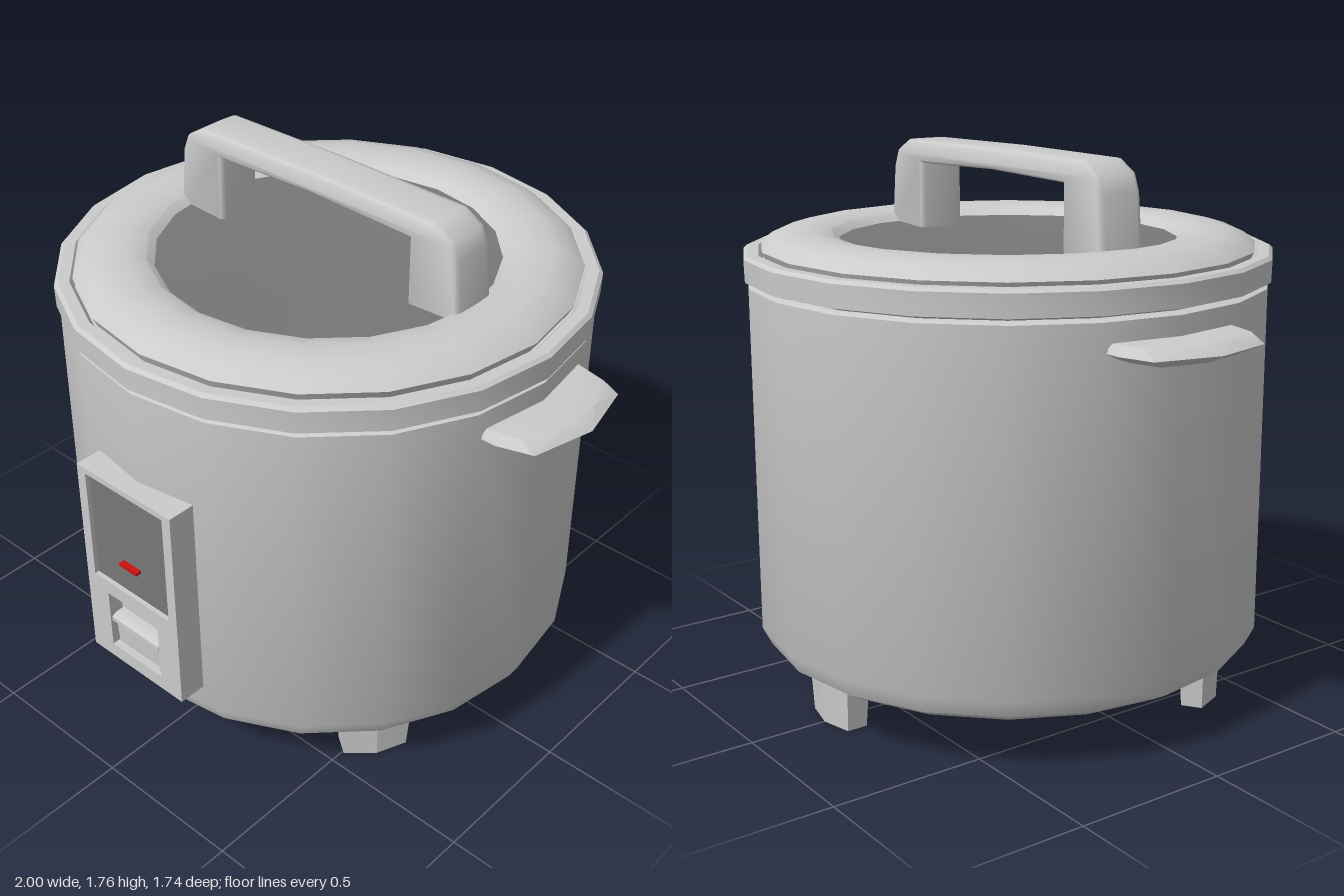
import * as THREE from 'three';
import { toCreasedNormals } from 'three/addons/utils/BufferGeometryUtils.js';
import { ConvexGeometry } from 'three/addons/geometries/ConvexGeometry.js';

const grey = new THREE.MeshStandardMaterial({ color: 0xcccccc });
const dark = new THREE.MeshStandardMaterial({ color: 0x777777 });
const red = new THREE.MeshStandardMaterial({ color: 0xcc1111 });
const CENTRE_Z = -0.03;

export function createModel() {
  const model = new THREE.Group();

  function add(name, geometry, material = grey, x = 0, y = 0, z = 0) {
    const mesh = new THREE.Mesh(geometry, material);
    mesh.name = name;
    mesh.position.set(x, y, z);
    model.add(mesh);
    return mesh;
  }

  // Round parts share one axis and the same number of sides
  function turned(name, profile, material = grey) {
    const points = profile.map(([r, y]) => new THREE.Vector2(r, y));
    const geometry = toCreasedNormals(new THREE.LatheGeometry(points, 20), 0.55);
    return add(name, geometry, material, 0, 0, CENTRE_Z);
  }

  turned('body', [[0, 0.16], [0.75, 0.16], [0.8, 0.19], [0.83, 0.25], [0.83, 1.35], [0.8, 1.36], [0, 1.36]]);
  turned('lidRim', [[0.79, 1.355], [0.84, 1.37], [0.842, 1.44], [0.83, 1.45], [0.795, 1.45], [0.78, 1.43], [0.7, 1.43]]);
  turned('lidRing', [[0.765, 1.42], [0.785, 1.46], [0.75, 1.49], [0.69, 1.508], [0.62, 1.51], [0.56, 1.497], [0.52, 1.46]]);
  turned('lidDish', [[0.54, 1.475], [0.3, 1.463], [0, 1.45]], dark);

  // Lid handle: arched side profile, extruded front to back
  const arch = new THREE.Shape([
    [-0.56, 1.46], [-0.39, 1.46], [-0.39, 1.69], [0, 1.7], [0.39, 1.69], [0.39, 1.46], [0.56, 1.46],
    [0.54, 1.66], [0.52, 1.71], [0.46, 1.745], [0, 1.75], [-0.46, 1.745], [-0.52, 1.71], [-0.54, 1.66],
  ].map(([x, y]) => new THREE.Vector2(x, y)));
  const archGeometry = new THREE.ExtrudeGeometry(arch, {
    depth: 0.12, bevelThickness: 0.02, bevelSize: 0.01, bevelSegments: 2,
  });
  add('lidHandle', toCreasedNormals(archGeometry, 0.7), grey, 0, 0, -0.09);

  // Side grips: faceted tapering wedges
  for (const side of [-1, 1]) {
    const corners = [];
    const layer = (y, outline) => outline.forEach(([x, z]) => corners.push(new THREE.Vector3(side * x, y, z)));
    layer(1.29, [[0.76, 0.2], [0.76, -0.26], [0.9, -0.23], [0.9, 0.17], [0.95, 0.05], [0.95, -0.11]]);
    layer(1.262, [[0.76, 0.21], [0.76, -0.27], [0.84, -0.27], [0.95, -0.235], [1, -0.03], [0.95, 0.175], [0.84, 0.21]]);
    layer(1.23, [[0.76, 0.15], [0.76, -0.21], [0.9, -0.17], [0.93, -0.03], [0.9, 0.11]]);
    add(side > 0 ? 'leftGrip' : 'rightGrip', toCreasedNormals(new ConvexGeometry(corners), 0.6));
  }

  // Control panel with a display opening and a switch slot
  function rectangle(shape, x0, x1, y0, y1) {
    shape.moveTo(x0, y0).lineTo(x1, y0).lineTo(x1, y1).lineTo(x0, y1).closePath();
    return shape;
  }
  const panel = rectangle(new THREE.Shape(), -0.2, 0.2, 0.325, 1.04);
  panel.holes.push(
    rectangle(new THREE.Path(), -0.165, 0.165, 0.635, 1.02),
    rectangle(new THREE.Path(), -0.11, 0.11, 0.375, 0.585),
  );
  add('controlPanel', new THREE.ExtrudeGeometry(panel, { depth: 0.13, bevelEnabled: false }), grey, 0, 0, 0.73);
  add('display', new THREE.BoxGeometry(0.33, 0.385, 0.06), dark, 0, 0.8275, 0.815);
  add('indicator', new THREE.BoxGeometry(0.075, 0.01, 0.02), red, 0, 0.745, 0.855);
  add('slotBack', new THREE.BoxGeometry(0.22, 0.21, 0.04), grey, 0, 0.48, 0.79);

  // Switch lever: a wedge with a rounded lip
  const leverProfile = new THREE.Shape([
    [0.8, 0.375], [0.835, 0.375], [0.84, 0.46], [0.858, 0.475], [0.858, 0.49], [0.84, 0.5], [0.8, 0.5],
  ].map(([z, y]) => new THREE.Vector2(-z, y)));
  const lever = new THREE.ExtrudeGeometry(leverProfile, { depth: 0.21, bevelEnabled: false });
  lever.translate(0, 0, -0.105).rotateY(Math.PI / 2);
  add('switchLever', toCreasedNormals(lever, 0.8));

  // Three feet, tapering towards the floor
  [35, 145, 270].forEach((degrees, i) => {
    const geometry = new THREE.BoxGeometry(0.24, 0.2, 0.08, 2, 1, 1);
    const p = geometry.attributes.position;
    for (let k = 0; k < p.count; k++) {
      const low = p.getY(k) < 0;
      const bow = Math.abs(p.getX(k)) < 0.01 ? 0.012 : -0.012;
      p.setXYZ(k, p.getX(k) * (low ? 0.87 : 1), p.getY(k), p.getZ(k) * (low ? 0.85 : 1) + bow);
    }
    geometry.computeVertexNormals();
    const a = THREE.MathUtils.degToRad(degrees);
    const foot = add('foot' + (i + 1), toCreasedNormals(geometry, 0.1), grey,
      0.67 * Math.cos(a), 0.1, CENTRE_Z + 0.67 * Math.sin(a));
    foot.rotation.y = Math.PI / 2 - a;
  });

  return model;
}
